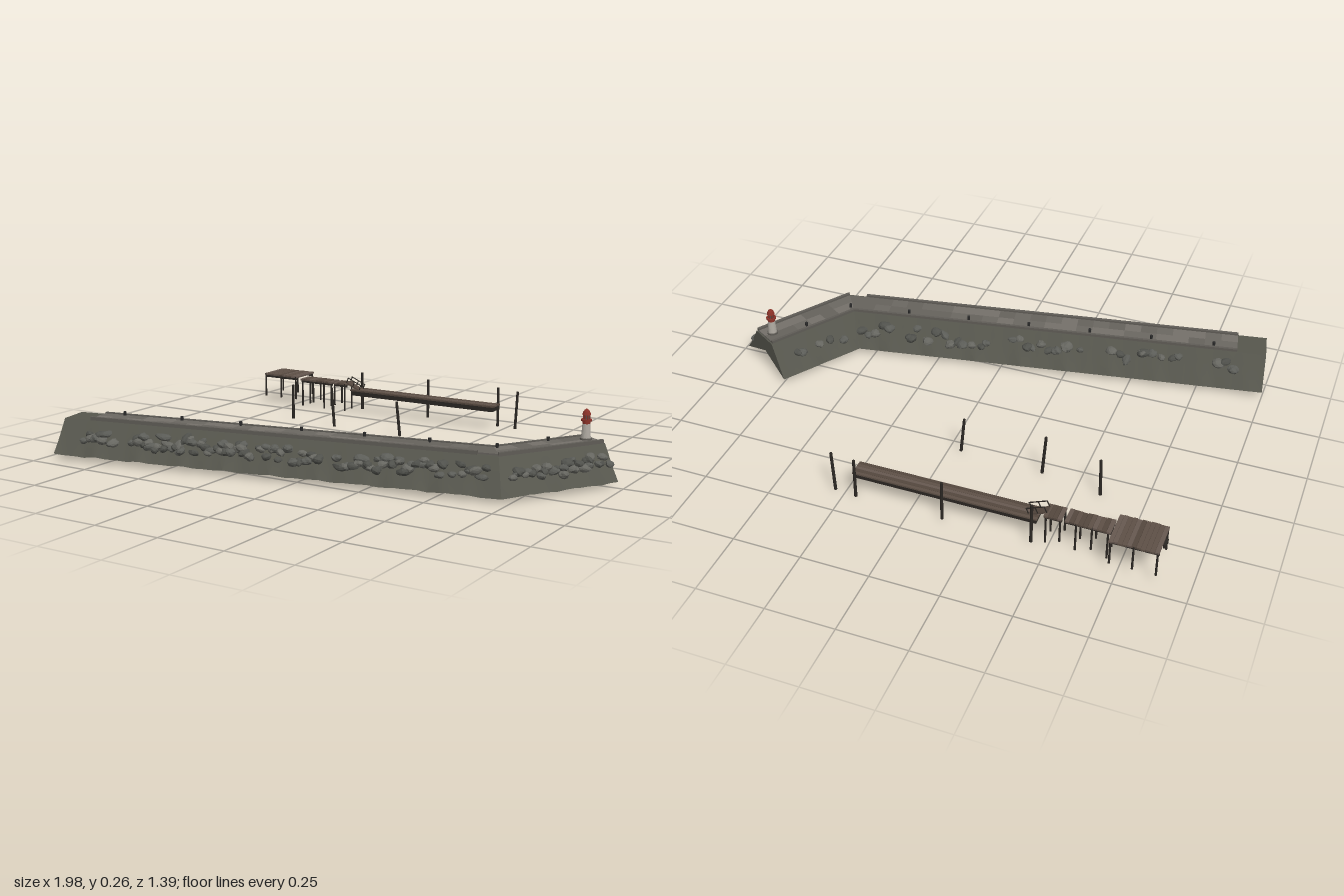
import * as THREE from 'three';
import { toCreasedNormals } from 'three/addons/utils/BufferGeometryUtils.js';

const mat = (color, opts = {}) => new THREE.MeshStandardMaterial({ color, ...opts });
const M = {
  slope: mat(0x56564d, { side: THREE.DoubleSide }),
  curb: mat(0x5f5c56, { side: THREE.DoubleSide }),
  slabs: [0x6b6761, 0x74706a, 0x65625c].map(c => mat(c, { side: THREE.DoubleSide })),
  rocks: [0x5c5d58, 0x50514c, 0x666660].map(c => mat(c, { flatShading: true })),
  planks: [0x5e5046, 0x54473e, 0x665850].map(c => mat(c)),
  pile: mat(0x2b2723), iron: mat(0x2a2a2a), tower: mat(0xb0aba2), red: mat(0x8a3228), glass: mat(0x55504a),
};

let seed = 11;
const rnd = () => (seed = (seed * 16807) % 2147483647) / 2147483647;

// Breakwater centre line: two straight legs meeting in a mitred bend
const A = new THREE.Vector2(-0.975, 0.555), B = new THREE.Vector2(0.645, 0.262), C = new THREE.Vector2(0.86, -0.08);
const L1 = A.distanceTo(B), L = L1 + B.distanceTo(C);
const d1 = B.clone().sub(A).normalize(), d2 = C.clone().sub(B).normalize();
const side = d => new THREE.Vector2(-d.y, d.x);
const n1 = side(d1), n2 = side(d2);
const miter = n1.clone().add(n2).normalize();
miter.divideScalar(miter.dot(n1));

// Point at distance s along the wall, o across it (+ is seaward)
function at(s, o, y) {
  const p = s <= L1 ? A.clone().addScaledVector(d1, s) : B.clone().addScaledVector(d2, s - L1);
  p.addScaledVector(Math.abs(s - L1) < 1e-6 ? miter : s < L1 ? n1 : n2, o);
  return new THREE.Vector3(p.x, y, p.y);
}

function stations(s0, s1, step) {
  const out = [];
  const n = Math.max(1, Math.round((s1 - s0) / step));
  for (let i = 0; i <= n; i++) out.push(s0 + (s1 - s0) * i / n);
  if (s0 < L1 && s1 > L1) out.push(L1);
  return out.sort((a, b) => a - b);
}

// Sweep a cross-section [[offset, y], ...] along the wall, with fan ends
function sweep(section, ss, crease = 0.5, wobble = () => [0, 0]) {
  const pos = [], idx = [], n = section.length;
  const put = v => pos.push(v.x, v.y, v.z) / 3 - 1;
  const ring = s => section.map(([o, y], i) => {
    const [a, b] = wobble(s, i, n);
    return at(s, o + a, y + b);
  });
  ss.forEach(s => ring(s).forEach(put));
  for (let k = 0; k < ss.length - 1; k++) for (let i = 0; i < n - 1; i++) {
    const a = k * n + i, d = a + n;
    idx.push(a, a + 1, d + 1, a, d + 1, d);
  }
  [ss[0], ss[ss.length - 1]].forEach((s, e) => {
    const r = ring(s), c = put(at(s, (section[0][0] + section[n - 1][0]) / 2, (section[0][1] + section[n >> 1][1]) / 2));
    const ids = r.map(put);
    for (let i = 0; i < n - 1; i++) e ? idx.push(c, ids[i + 1], ids[i]) : idx.push(c, ids[i], ids[i + 1]);
  });
  const g = new THREE.BufferGeometry();
  g.setAttribute('position', new THREE.Float32BufferAttribute(pos, 3));
  g.setIndex(idx);
  return toCreasedNormals(g, crease);
}

function add(parent, name, geo, material, x = 0, y = 0, z = 0) {
  const m = new THREE.Mesh(geo, material);
  m.name = name;
  m.position.set(x, y, z);
  parent.add(m);
  return m;
}
function group(parent, name) {
  const g = new THREE.Group();
  g.name = name;
  parent.add(g);
  return g;
}
const box = (p, name, m, x0, x1, y0, y1, z0, z1) =>
  add(p, name, new THREE.BoxGeometry(x1 - x0, y1 - y0, z1 - z0), m, (x0 + x1) / 2, (y0 + y1) / 2, (z0 + z1) / 2);
const pile = (p, name, x, z, y0, y1, r = 0.004) =>
  add(p, name, new THREE.CylinderGeometry(r * 0.9, r, y1 - y0, 8), M.pile, x, (y0 + y1) / 2, z);

// Lumpy flattened boulder
function rockGeometry() {
  const g = new THREE.IcosahedronGeometry(1, 1), p = g.attributes.position, k = rnd() * 9;
  for (let i = 0; i < p.count; i++) {
    const x = p.getX(i), y = p.getY(i), z = p.getZ(i);
    const f = 1 + 0.13 * Math.sin(3 * x + k) + 0.13 * Math.sin(4 * z + 2 * y + k * 2);
    p.setXYZ(i, x * f, y * f, z * f);
  }
  return g;
}

function buildBreakwater(root) {
  const g = group(root, 'breakwater');
  const slope = [[0.137, 0.018], [0.11, 0.058], [0.082, 0.102], [0.058, 0.139]];
  const section = [...slope.map(([o, y]) => [-o, y]), ...slope.reverse()];
  add(g, 'rubbleSlope', sweep(section, stations(0, L, 0.03), 0.5, (s, i, n) => {
    const e = Math.min(i, n - 1 - i), w = [1, 0.4, 0.1, 0][e], sgn = i < n / 2 ? -1 : 1;
    const v = Math.sin(s * 37 + sgn) * 0.5 + Math.sin(s * 71 + 2 * sgn) * 0.5;
    return [sgn * v * 0.007 * w, v * 0.005 * w];
  }), M.slope);

  // Paving slabs in two lanes
  const ss = stations(0.11, L - 0.005, 0.062);
  for (let k = 0; k < ss.length - 1; k++) [[-0.046, 0], [0, 0.046]].forEach(([a, b]) =>
    add(g, 'pavingSlab', sweep([[a, 0.138], [a, 0.145], [b, 0.145], [b, 0.138]], [ss[k], ss[k + 1]]), M.slabs[Math.floor(rnd() * 3)]));

  // Edge curbs; the seaward one is broken near the bend
  const curb = (a, b, top, s0, s1) => add(g, 'curb',
    sweep([[a, 0.136], [a, top], [b, top], [b, 0.136]], stations(s0, s1, 0.1)), M.curb);
  curb(-0.056, -0.046, 0.149, 0.11, L - 0.005);
  curb(0.046, 0.058, 0.152, 0.11, L1 - 0.05);
  curb(0.046, 0.058, 0.152, L1, L - 0.005);

  // Mooring bollards
  for (let s = 0.2; s < L - 0.1; s += 0.24) {
    const p = at(s, -0.037, 0.152);
    add(g, 'bollard', new THREE.CylinderGeometry(0.006, 0.005, 0.016, 8), M.iron, p.x, p.y, p.z);
  }

  // Armour rocks, clustered on each flank: [start, end, count, flank]
  const shapes = [0, 1, 2, 3, 4].map(rockGeometry);
  const runs = [[0.1, 0.24, 9, 1], [0.3, 0.92, 46, 1], [0.95, 1.05, 8, 1], [1.1, 1.5, 26, 1], [1.52, L, 34, 1],
    [0.1, 0.2, 3, -1], [0.3, 0.6, 9, -1], [0.7, 1.0, 10, -1], [1.05, 1.4, 11, -1], [1.46, 1.6, 5, -1], [1.74, 2, 5, -1]];
  runs.forEach(([s0, s1, n, f]) => {
    for (let i = 0; i < n; i++) {
      const t = rnd(), o = 0.078 + 0.033 * t;
      const p = at(s0 + (s1 - s0) * (i + rnd()) / n, f * o, 0.109 - 0.046 * t);
      const r = add(g, 'armourRock', shapes[i % 5], M.rocks[i % 3], p.x, p.y, p.z);
      const q = 0.014 + rnd() * 0.008;
      r.scale.set(q * (1 + rnd() * 0.4), q * 0.72, q);
      r.rotation.set((rnd() - 0.5) * 0.5, rnd() * 6, (rnd() - 0.5) * 0.5);
    }
  });
}

function buildBeacon(root) {
  const g = group(root, 'beacon');
  g.position.set(0.84, 0.143, -0.045);
  const lathe = (name, pts, m) => add(g, name,
    toCreasedNormals(new THREE.LatheGeometry(pts.map(p => new THREE.Vector2(...p)), 20), 0.5), m);
  lathe('beaconBase', [[0, 0], [0.021, 0], [0.021, 0.008], [0, 0.008]], M.curb);
  lathe('beaconTower', [[0.017, 0.006], [0.013, 0.066], [0, 0.066]], M.tower);
  lathe('beaconGallery', [[0.0135, 0.056], [0.0135, 0.066], [0.019, 0.068], [0.019, 0.074], [0, 0.074]], M.red);
  lathe('beaconLantern', [[0.011, 0.072], [0.011, 0.092], [0, 0.092]], M.glass);
  lathe('beaconRoof', [[0, 0.09], [0.015, 0.09], [0.013, 0.098], [0.008, 0.106], [0, 0.112]], M.red);
  for (let i = 0; i < 8; i++) {
    const a = i * Math.PI / 4;
    add(g, 'lanternBar', new THREE.BoxGeometry(0.004, 0.02, 0.004), M.red, 0.011 * Math.cos(a), 0.082, 0.011 * Math.sin(a));
  }
}

function buildJetty(root) {
  const g = group(root, 'jetty');
  // Crosswise boards over two bearers
  const boards = (name, x0, x1, z0, z1, top, w) => {
    const n = Math.round((x1 - x0) / w), st = (x1 - x0) / n;
    for (let i = 0; i < n; i++)
      box(g, name, M.planks[Math.floor(rnd() * 3)], x0 + i * st, x0 + (i + 0.93) * st, top - 0.007, top, z0 + rnd() * 0.004, z1 - rnd() * 0.004);
    [z0 + 0.01, z1 - 0.016].forEach(z => box(g, 'bearer', M.pile, x0, x1, top - 0.017, top - 0.007, z, z + 0.006));
  };
  boards('platformBoard', -0.885, -0.715, -0.697, -0.556, 0.13, 0.0155);
  boards('walkwayBoard', -0.71, -0.55, -0.647, -0.577, 0.119, 0.0155);
  boards('walkwayBoard', -0.54, -0.477, -0.647, -0.577, 0.119, 0.0155);
  box(g, 'platformEdge', M.pile, -0.895, -0.885, 0.11, 0.124, -0.645, -0.61);
  [-0.88, -0.8, -0.722].forEach(x => [-0.691, -0.561].forEach(z => pile(g, 'platformPile', x, z, 0.03, 0.128)));
  [-0.7, -0.645, -0.59, -0.535, -0.485].forEach((x, i) =>
    [-0.64, -0.582].forEach(z => pile(g, 'walkwayPile', x, z, i % 2 ? 0.02 : 0, 0.118)));

  // Sloping gangway with handrails
  const ramp = group(g, 'gangway');
  ramp.position.set(-0.452, 0.107, -0.611);
  ramp.rotation.z = -0.4;
  box(ramp, 'gangwayDeck', M.planks[1], -0.036, 0.036, -0.004, 0.002, -0.016, 0.016);
  [-0.016, 0.016].forEach(z => {
    box(ramp, 'handrail', M.pile, -0.036, 0.036, 0.022, 0.025, z - 0.0015, z + 0.0015);
    [-0.034, 0, 0.034].forEach(x => box(ramp, 'railPost', M.pile, x - 0.0015, x + 0.0015, 0, 0.024, z - 0.0015, z + 0.0015));
  });

  // Floating pontoon with lengthwise boards and guide piles
  box(g, 'pontoonHull', M.pile, -0.452, 0.216, 0.072, 0.09, -0.642, -0.582);
  for (let i = 0; i < 5; i++) {
    const z = -0.647 + i * 0.0134;
    box(g, 'pontoonBoard', M.planks[i % 3], -0.456, 0.22, 0.09, 0.096, z, z + 0.0124);
  }
  [-0.44, -0.118, 0.207].forEach(x => pile(g, 'guidePile', x, -0.655, 0, 0.16, 0.006));
}

export function createModel() {
  const root = new THREE.Group();
  root.name = 'harbour';
  buildBreakwater(root);
  buildBeacon(root);
  buildJetty(root);
  // Free-standing leaning mooring piles: [x, z, height, leanX, leanZ]
  [[-0.585, -0.339, 0.145, 0.08, -0.05], [-0.365, -0.302, 0.16, 0.03, 0.06], [-0.05, -0.287, 0.14, 0.07, 0.07],
    [0.295, -0.643, 0.155, 0.05, -0.08]].forEach(([x, z, h, rx, rz]) => {
    pile(root, 'mooringPile', x, z, 0, h, 0.006).rotation.set(rx, 0, rz);
  });
  return root;
}
